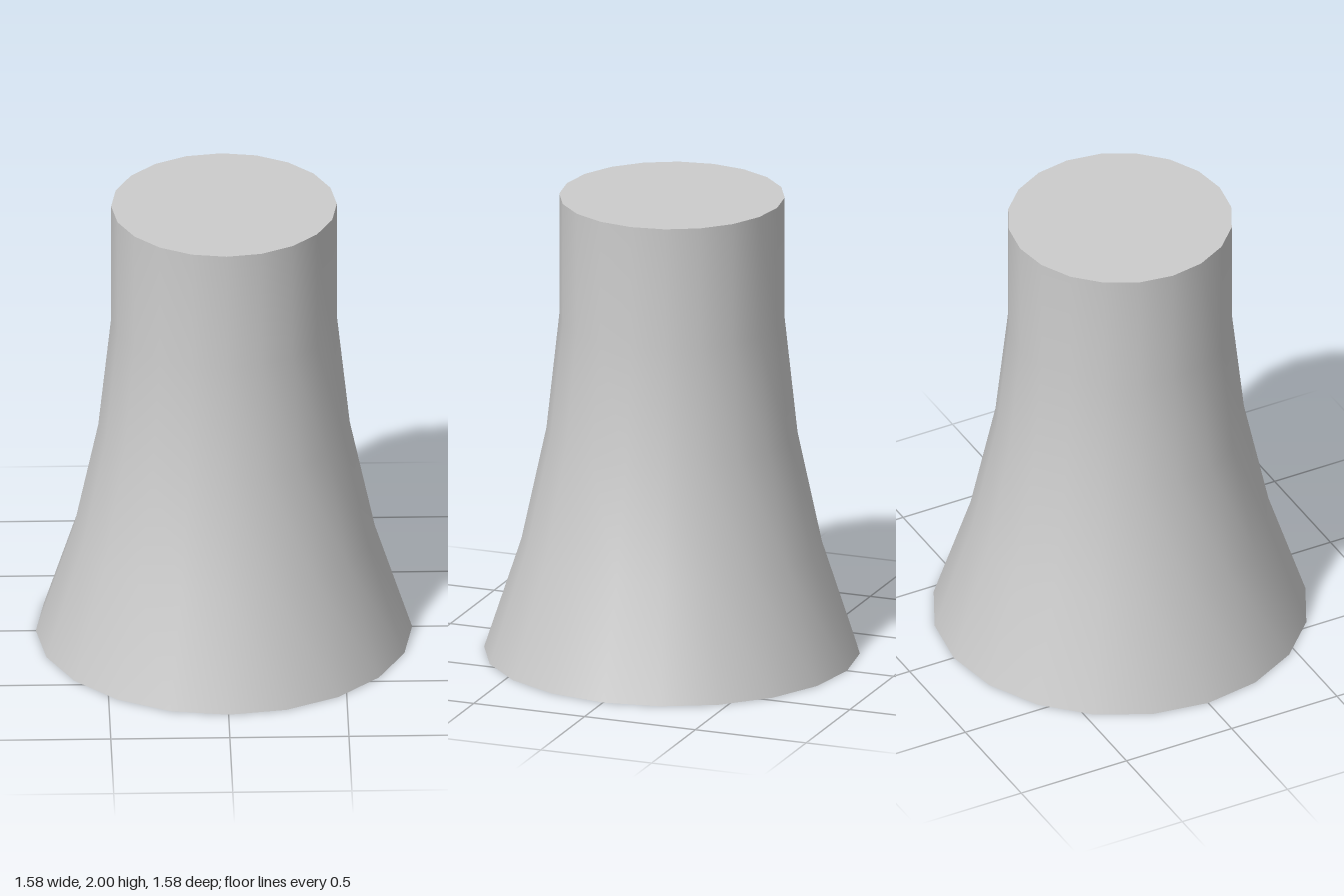
import * as THREE from 'three';

const SIDES = 20;
// Radius and height of each ring, from the flared foot to the straight neck
const PROFILE = [[0.79, 0], [0.633, 0.48], [0.528, 0.97], [0.474, 1.47], [0.474, 2]];

export function createModel() {
  const group = new THREE.Group();
  group.name = 'flaredColumn';
  const material = new THREE.MeshStandardMaterial({ color: 0xcccccc });

  const add = (name, geometry) => {
    const mesh = new THREE.Mesh(geometry, material);
    mesh.name = name;
    group.add(mesh);
    return mesh;
  };

  // Smooth-shaded wall
  const points = PROFILE.map(([r, y]) => new THREE.Vector2(r, y));
  add('wall', new THREE.LatheGeometry(points, SIDES));

  // Flat end caps, separate so the rims stay sharp
  const [bottom, top] = [points[0], points[points.length - 1]];
  add('bottomCap', new THREE.CircleGeometry(bottom.x, SIDES).rotateX(Math.PI / 2)).position.y = bottom.y;
  add('topCap', new THREE.CircleGeometry(top.x, SIDES).rotateX(-Math.PI / 2)).position.y = top.y;

  return group;
}
